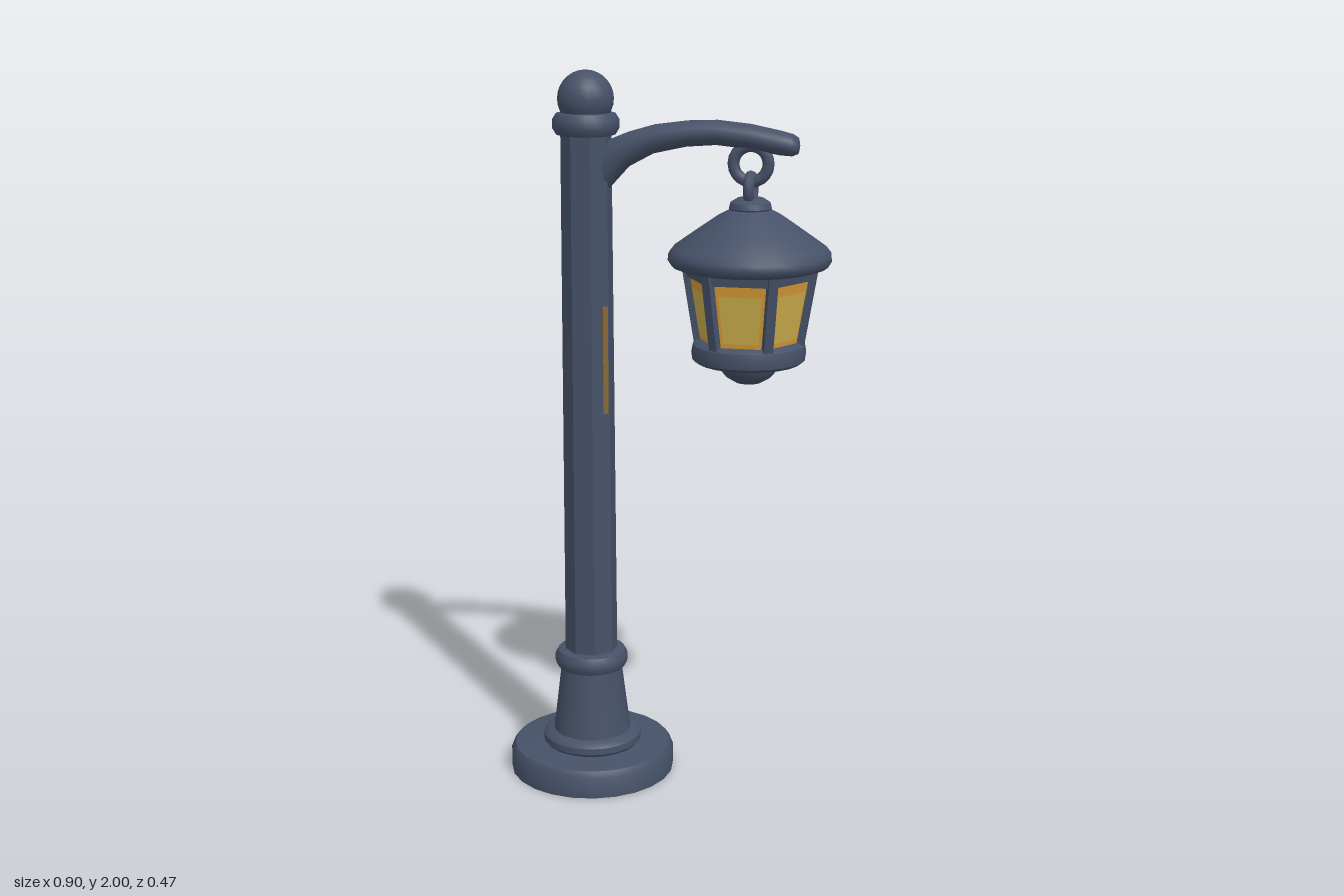
import * as THREE from 'three';
import { toCreasedNormals } from 'three/addons/utils/BufferGeometryUtils.js';

const POST_X = -0.217, LAMP_X = 0.232;

export function createModel() {
  const iron = new THREE.MeshStandardMaterial({ name: 'blue grey iron', color: 0x465168 });
  const amber = new THREE.MeshStandardMaterial({ name: 'amber glass', color: 0xd69a35 });
  const pale = new THREE.MeshStandardMaterial({ name: 'pale glass', color: 0xcbae4c });
  const glow = new THREE.MeshStandardMaterial({ name: 'warm glow', color: 0x86683a });
  const model = new THREE.Group();
  model.name = 'streetLamp';

  const add = (parent, name, geometry, material, x = 0, y = 0, z = 0) => {
    const mesh = new THREE.Mesh(geometry, material);
    mesh.name = name;
    mesh.position.set(x, y, z);
    parent.add(mesh);
    return mesh;
  };
  // Turned part from [radius, height] pairs, bottom to top
  const turned = (profile, sides = 24) => toCreasedNormals(
    new THREE.LatheGeometry(profile.map(([r, y]) => new THREE.Vector2(r, y)), sides), 0.7);

  // Post and foot
  const post = new THREE.Group();
  post.name = 'post';
  post.position.x = POST_X;
  model.add(post);
  add(post, 'base', turned([[0, 0], [0.235, 0], [0.235, 0.06], [0.224, 0.077], [0.205, 0.08], [0, 0.08]]), iron);
  add(post, 'baseRing', turned([[0.13, 0.075], [0.141, 0.088], [0.14, 0.106], [0.127, 0.119], [0.1, 0.122]]), iron);
  add(post, 'plinth', turned([[0.112, 0.11], [0.104, 0.17], [0.085, 0.325]]), iron);
  add(post, 'plinthCollar', turned([[0.08, 0.308], [0.096, 0.313], [0.104, 0.328], [0.104, 0.346], [0.095, 0.362], [0.06, 0.367]]), iron);
  const shaft = new THREE.CylinderGeometry(0.069, 0.075, 1.52, 8, 1, false, Math.PI / 8).toNonIndexed();
  shaft.computeVertexNormals();
  add(post, 'shaft', shaft, iron, 0, 1.1, 0);
  add(post, 'topCollar', turned([[0.06, 1.826], [0.08, 1.83], [0.09, 1.846], [0.09, 1.87], [0.08, 1.886], [0.04, 1.89]]), iron);
  add(post, 'ballFinial', new THREE.SphereGeometry(0.076, 20, 14), iron, 0, 1.924, 0);
  const strip = add(post, 'glowStrip', new THREE.BoxGeometry(0.016, 0.3, 0.004), glow, 0.058, 1.22, 0.038);
  strip.rotation.y = Math.PI / 4;

  add(model, 'arm', armGeometry(), iron);

  // Hanging links
  const lantern = new THREE.Group();
  lantern.name = 'lantern';
  lantern.position.x = LAMP_X;
  model.add(lantern);
  add(lantern, 'upperLink', new THREE.TorusGeometry(0.047, 0.016, 8, 20), iron, 0, 1.762, 0);
  const lowerLink = add(lantern, 'lowerLink', new THREE.TorusGeometry(0.035, 0.015, 8, 16), iron, 0, 1.695, 0);
  lowerLink.rotation.y = Math.PI / 2;

  // Lantern roof and bottom
  add(lantern, 'roof', turned([[0, 1.485], [0.19, 1.485], [0.21, 1.492], [0.22, 1.508], [0.219, 1.524], [0.205, 1.542],
    [0.14, 1.588], [0.085, 1.626], [0.052, 1.643]], 24), iron);
  add(lantern, 'roofCap', turned([[0.05, 1.632], [0.058, 1.645], [0.054, 1.66], [0.035, 1.672], [0, 1.676]], 16), iron);
  add(lantern, 'bottomRing', turned([[0, 1.228], [0.14, 1.228], [0.153, 1.237], [0.156, 1.258], [0.152, 1.279],
    [0.14, 1.288], [0, 1.288]], 24), iron);
  add(lantern, 'bottomDome', turned([[0, 1.166], [0.035, 1.172], [0.062, 1.188], [0.08, 1.21], [0.086, 1.235]], 20), iron);

  // Six glass panes between tilted bars
  const TOP = 1.49, BOTTOM = 1.28, H = TOP - BOTTOM;
  const glass = new THREE.CylinderGeometry(0.173, 0.138, H, 6, 1, true, Math.PI / 6).toNonIndexed();
  glass.computeVertexNormals();
  add(lantern, 'glass', glass, amber, 0, (TOP + BOTTOM) / 2, 0);
  const frame = new THREE.CylinderGeometry(0.183, 0.177, 0.036, 6, 1, false, Math.PI / 6).toNonIndexed();
  frame.computeVertexNormals();
  add(lantern, 'topFrame', frame, iron, 0, 1.476, 0);

  const pane = new THREE.Shape([[-0.047, -0.07], [0.047, -0.07], [0.058, 0.06], [-0.058, 0.06]]
    .map(([x, y]) => new THREE.Vector2(x, y)));
  const paneGeometry = new THREE.ShapeGeometry(pane);
  const tilt = Math.atan(0.035 / H);
  for (let i = 0; i < 6; i++) {
    const side = new THREE.Group();
    side.name = 'paneSide';
    side.rotation.y = i * Math.PI / 3;
    lantern.add(side);
    const panel = add(side, 'paneCentre', paneGeometry, pale, 0, 1.37, 0.1355);
    panel.rotation.x = Math.atan(0.035 * Math.cos(Math.PI / 6) / H);

    const corner = new THREE.Group();
    corner.name = 'barCorner';
    corner.rotation.y = (i + 0.5) * Math.PI / 3;
    lantern.add(corner);
    const bar = add(corner, 'bar', new THREE.BoxGeometry(0.026, H + 0.01, 0.026), iron, 0, (TOP + BOTTOM) / 2, 0.154);
    bar.rotation.x = tilt;
  }
  return model;
}

// Curved arm lofted from oval sections: [x, top, bottom, half width]
function armGeometry() {
  const sections = [
    [-0.18, 1.80, 1.65, 0.036], [-0.15, 1.82, 1.69, 0.039], [-0.1, 1.84, 1.745, 0.041], [-0.03, 1.86, 1.783, 0.042],
    [0.06, 1.872, 1.803, 0.042], [0.14, 1.875, 1.809, 0.042], [0.23, 1.866, 1.8, 0.042], [0.31, 1.85, 1.786, 0.041],
    [0.342, 1.842, 1.784, 0.037], [0.357, 1.833, 1.79, 0.027], [0.362, 1.812, 1.81, 0.001],
  ];
  const sides = 14, positions = [], index = [];
  sections.forEach(([x, top, bottom, w], i) => {
    for (let j = 0; j < sides; j++) {
      const t = j / sides * Math.PI * 2;
      positions.push(x, (top + bottom) / 2 + (top - bottom) / 2 * Math.sin(t), w * Math.cos(t));
      if (i === sections.length - 1) continue;
      const a = i * sides + j, b = i * sides + (j + 1) % sides;
      index.push(a, a + sides, b, b, a + sides, b + sides);
    }
  });
  const geometry = new THREE.BufferGeometry();
  geometry.setAttribute('position', new THREE.Float32BufferAttribute(positions, 3));
  geometry.setIndex(index);
  geometry.computeVertexNormals();
  return geometry;
}
